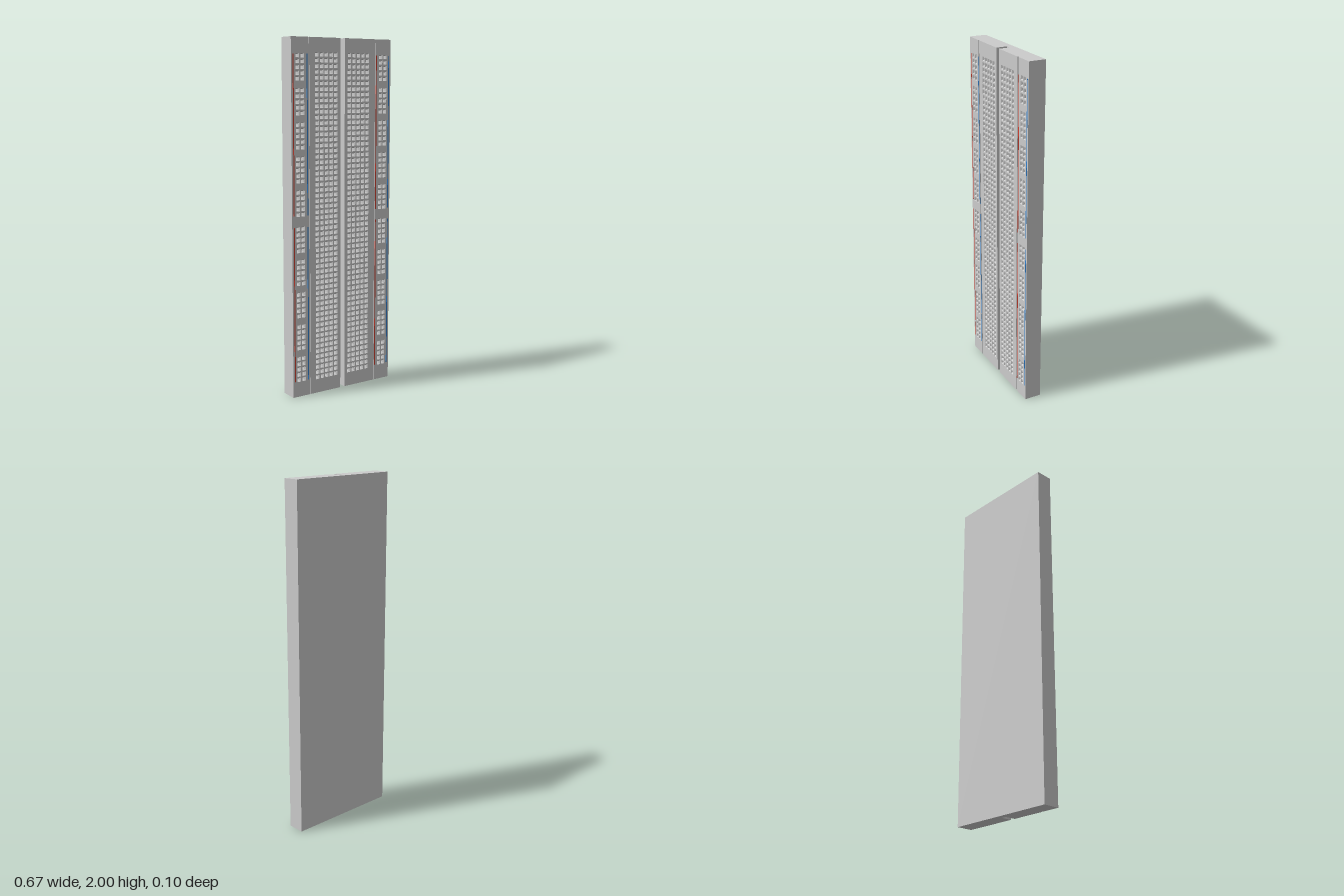
import * as THREE from 'three';
import { mergeGeometries } from 'three/addons/utils/BufferGeometryUtils.js';

const PITCH = 0.0308;          // hole spacing
const HALF_W = 0.333, HEIGHT = 2;
const BACK = -0.049, FRONT = 0.049, FLOOR = -0.0143; // FLOOR is the bottom of the centre channel
const HOLE = 0.0115;           // half width of a hole mouth

const grey = new THREE.MeshStandardMaterial({ color: 0xcccccc, flatShading: true });
const greyInside = new THREE.MeshStandardMaterial({ color: 0xcccccc, flatShading: true, side: THREE.DoubleSide });
const red = new THREE.MeshStandardMaterial({ color: 0xd04030 });
const blue = new THREE.MeshStandardMaterial({ color: 0x3080d0 });

function addMesh(group, name, geometry, material) {
  const mesh = new THREE.Mesh(geometry, material);
  mesh.name = name;
  group.add(mesh);
  return mesh;
}

// Box given by its limits on each axis
function boxBetween(x0, x1, y0, y1, z0, z1) {
  return new THREE.BoxGeometry(x1 - x0, y1 - y0, z1 - z0)
    .translate((x0 + x1) / 2, (y0 + y1) / 2, (z0 + z1) / 2);
}

function rectangle(path, x0, x1, y0, y1) {
  path.moveTo(x0, y0);
  path.lineTo(x1, y0);
  path.lineTo(x1, y1);
  path.lineTo(x0, y1);
  path.closePath();
  return path;
}

// Square funnel narrowing into a blind shaft, mouth at the front face
function socketGeometry() {
  const r = Math.SQRT2;
  const profile = [[0, -0.05], [0.0065 * r, -0.05], [0.0065 * r, -0.009], [HOLE * r, 0]]
    .map(([x, y]) => new THREE.Vector2(x, y));
  return new THREE.LatheGeometry(profile, 4)
    .rotateY(Math.PI / 4).rotateX(Math.PI / 2).translate(0, 0, FRONT);
}

// Raised block pierced by a hole at every column and row, with sockets behind
function perforatedBlock(name, x0, x1, columns, rows) {
  const block = new THREE.Group();
  block.name = name;
  const shape = rectangle(new THREE.Shape(), x0, x1, 0, HEIGHT);
  const socket = socketGeometry();
  const sockets = [];
  for (const x of columns) {
    for (const y of rows) {
      shape.holes.push(rectangle(new THREE.Path(), x - HOLE, x + HOLE, y - HOLE, y + HOLE));
      sockets.push(socket.clone().translate(x, y, 0));
    }
  }
  const plate = new THREE.ExtrudeGeometry(shape, { depth: FRONT - FLOOR, bevelEnabled: false });
  addMesh(block, name + 'Plate', plate.translate(0, 0, FLOOR), grey);
  addMesh(block, name + 'Sockets', mergeGeometries(sockets), greyInside);
  return block;
}

export function createModel() {
  const board = new THREE.Group();
  board.name = 'solderlessBoard';

  // Solid back slab, its front is the floor of the centre channel
  addMesh(board, 'backSlab', boxBetween(-HALF_W, HALF_W, 0, HEIGHT, BACK, FLOOR), grey);

  // Row heights: 60 even rows in the fields, ten groups of five in the rails
  const fieldRows = Array.from({ length: 60 }, (_, i) => 1 + (i - 29.5) * PITCH);
  const railRows = [];
  for (const half of [-1, 1]) {
    for (let g = 0; g < 5; g++) {
      for (let i = 0; i < 5; i++) railRows.push(1 + half * (0.0395 + (g * 6 + i) * PITCH));
    }
  }

  for (const side of [-1, 1]) {
    const label = side > 0 ? 'left' : 'right';
    const span = (a, b) => (side > 0 ? [a, b] : [-b, -a]);

    // Terminal field beside the channel
    const fieldColumns = [0, 1, 2, 3, 4].map(i => side * (1.5 + i) * PITCH);
    board.add(perforatedBlock(label + 'Field', ...span(0.0148, 0.218), fieldColumns, fieldRows));

    // Power rail at the edge
    const railColumns = [-0.5, 0.5].map(i => side * 0.278 + i * PITCH);
    board.add(perforatedBlock(label + 'Rail', ...span(0.2265, HALF_W), railColumns, railRows));

    // Shallow groove between field and rail
    addMesh(board, label + 'GrooveFloor',
      boxBetween(...span(0.218, 0.2265), 0, HEIGHT, FLOOR, FRONT - 0.004), grey);

    // Printed polarity stripes, broken in the middle
    for (const half of [-1, 1]) {
      for (const [offset, material, name] of [[-0.044, red, 'RedStripe'], [0.044, blue, 'BlueStripe']]) {
        const stripe = addMesh(board, label + name, new THREE.BoxGeometry(0.006, 0.878, 0.001), material);
        stripe.position.set(side * 0.276 + offset, 1 + half * 0.471, FRONT);
      }
    }
  }
  return board;
}
